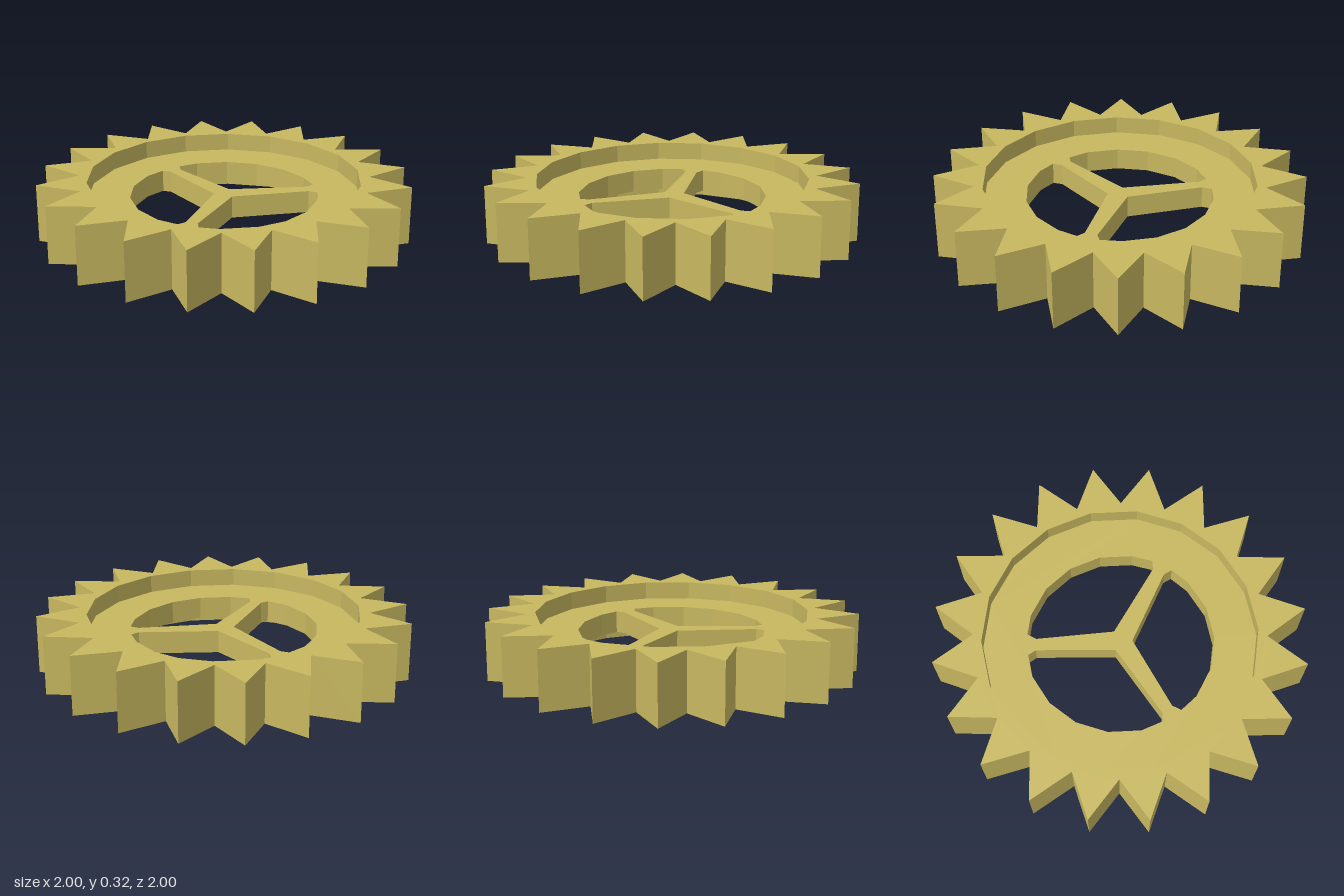
import * as THREE from 'three';

const HEIGHT = 0.318, WEB_LOW = 0.098, WEB_HIGH = 0.22;
const TEETH = 20, SIDES = 18;
const RIM_RADIUS = 0.735, HOLE_RADIUS = 0.507;

// Point at a radius and an angle in degrees
const polar = (r, deg) => {
  const a = THREE.MathUtils.degToRad(deg);
  return new THREE.Vector2(r * Math.cos(a), r * Math.sin(a));
};
const points = (list) => list.map(([x, y]) => new THREE.Vector2(x, y));
const polygon = (r, sides) =>
  Array.from({ length: sides }, (_, i) => polar(r, (i * 360) / sides));
const mirrored = (list) => list.map((p) => new THREE.Vector2(p.x, -p.y)).reverse();

// Lays a flat outline on the ground and raises it from y0 to y1
function slab(name, outline, holes, y0, y1, material) {
  const shape = new THREE.Shape(outline);
  shape.holes = holes.map((h) => new THREE.Path(h));
  const geometry = new THREE.ExtrudeGeometry(shape, { depth: y1 - y0, bevelEnabled: false });
  geometry.rotateX(-Math.PI / 2).translate(0, y0, 0);
  const mesh = new THREE.Mesh(geometry, material);
  mesh.name = name;
  return mesh;
}

export function createModel() {
  const brass = new THREE.MeshStandardMaterial({ color: 0xc8b860 });
  brass.name = 'brass';
  const gear = new THREE.Group();
  gear.name = 'gear';

  // Tall rim with pointed teeth
  const teeth = [];
  for (let i = 0; i < TEETH; i++) {
    teeth.push(polar(1, i * 18), polar(0.78, i * 18 + 9));
  }
  gear.add(slab('toothedRim', teeth, [polygon(RIM_RADIUS, SIDES)], 0, HEIGHT, brass));

  // Recessed web: three openings leave three tapered spokes
  const sideOpening = [
    ...points([[0.036, 0.056], [0.46, 0.034], [0.502, 0.06]]),
    ...[20, 40, 60, 80, 100].map((d) => polar(HOLE_RADIUS, d)),
    ...points([[-0.193, 0.462], [-0.193, 0.408]]),
  ];
  const leftOpening = [
    ...points([[-0.053, 0], [-0.252, 0.38], [-0.294, 0.402]]),
    ...[140, 160, 180, 200, 220].map((d) => polar(HOLE_RADIUS, d)),
    ...points([[-0.294, -0.402], [-0.252, -0.38]]),
  ];
  gear.add(slab('spokedWeb', polygon(RIM_RADIUS, SIDES),
    [sideOpening, mirrored(sideOpening), leftOpening], WEB_LOW, WEB_HIGH, brass));

  return gear;
}
